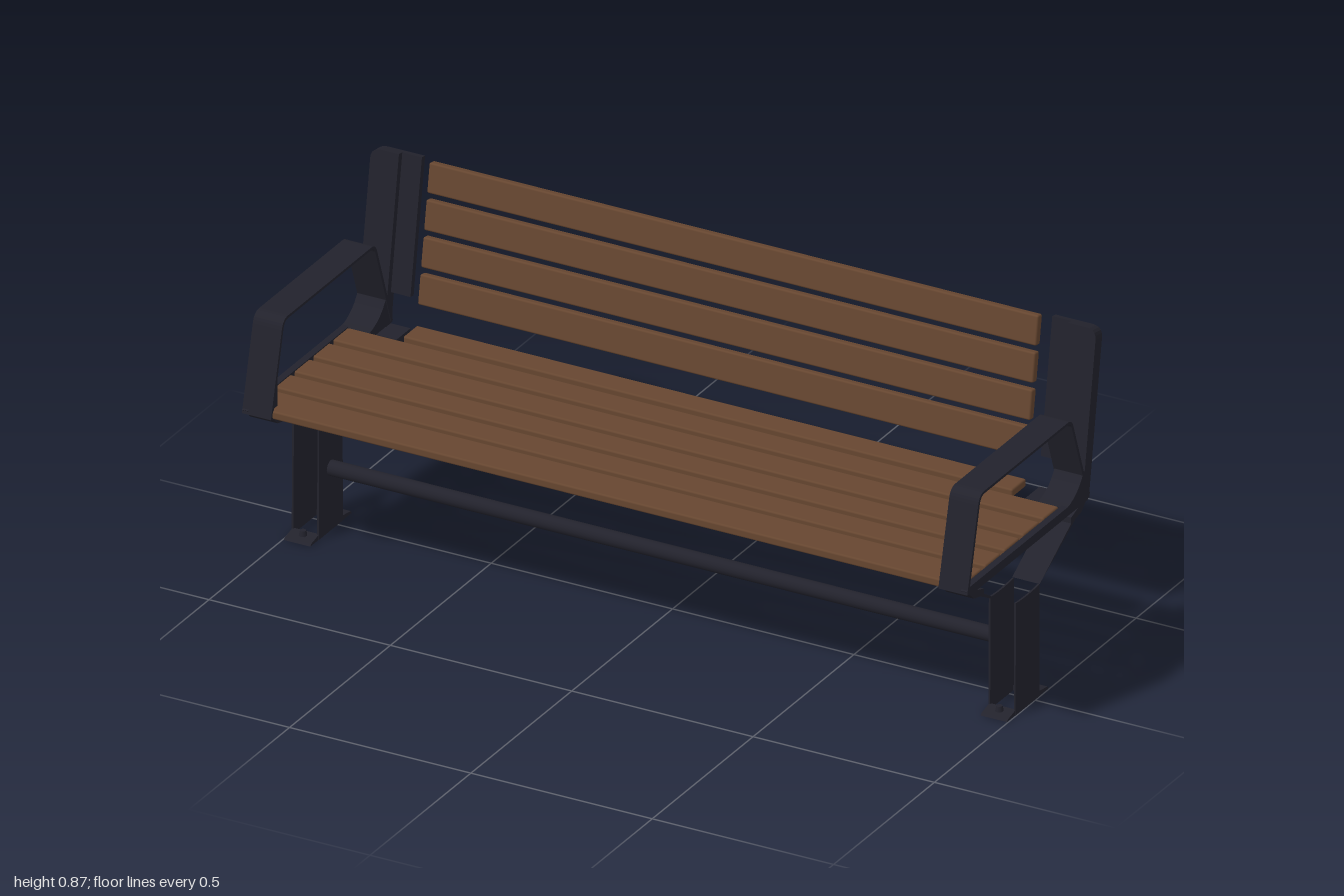
import * as THREE from 'three';
import { RoundedBoxGeometry } from 'three/addons/geometries/RoundedBoxGeometry.js';

const TILT = 0.16; // backward lean of the backrest

export function createModel() {
  const bench = new THREE.Group();
  bench.name = 'bench';
  const wood = new THREE.MeshStandardMaterial({ color: 0x664630 });
  wood.name = 'brownWood';
  const metal = new THREE.MeshStandardMaterial({ color: 0x22222c });
  metal.name = 'darkMetal';

  function add(name, geometry, material, x = 0, y = 0, z = 0) {
    const mesh = new THREE.Mesh(geometry, material);
    mesh.name = name;
    mesh.position.set(x, y, z);
    bench.add(mesh);
    return mesh;
  }

  // Side-on outline in [z, y], extruded across x between two distances from the middle
  function sidePart(name, outline, side, xIn, xOut) {
    const shape = outline instanceof THREE.Shape ? outline
      : new THREE.Shape(outline.map(([z, y]) => new THREE.Vector2(z, y)));
    const g = new THREE.ExtrudeGeometry(shape, { depth: xOut - xIn, bevelEnabled: false, curveSegments: 6 });
    g.rotateY(-Math.PI / 2);
    return add(name, g, metal, side > 0 ? xOut : -xIn);
  }

  // Seat slats: [rear z, front z, half length]
  const seatSlats = [
    [-0.243, -0.174, 0.84], [-0.152, -0.077, 0.98], [-0.058, 0.022, 0.98],
    [0.04, 0.115, 0.98], [0.134, 0.21, 0.98], [0.227, 0.328, 0.98],
  ];
  seatSlats.forEach(([z0, z1, half], i) => {
    add('seatSlat' + (i + 1), new RoundedBoxGeometry(half * 2, 0.022, z1 - z0, 2, 0.005),
      wood, 0, 0.441, (z0 + z1) / 2);
  });

  // Backrest slats
  for (let i = 0; i < 4; i++) {
    const y = 0.543 + i * 0.0938;
    const slat = add('backSlat' + (i + 1), new RoundedBoxGeometry(1.68, 0.078, 0.022, 2, 0.005),
      wood, 0, y, -0.262 - (y - 0.543) * 0.162);
    slat.rotation.x = -TILT;
  }

  // Bent flat bar of the armrest: points along the outside, then back along the inside
  const armLoop = new THREE.Shape();
  armLoop.moveTo(0.337, 0.432);
  armLoop.lineTo(0.283, 0.652);
  armLoop.quadraticCurveTo(0.277, 0.678, 0.252, 0.678);
  armLoop.lineTo(-0.162, 0.678);
  armLoop.quadraticCurveTo(-0.182, 0.678, -0.19, 0.655);
  armLoop.lineTo(-0.268, 0.435);
  armLoop.lineTo(-0.259, 0.435);
  armLoop.lineTo(-0.182, 0.652);
  armLoop.quadraticCurveTo(-0.176, 0.671, -0.162, 0.671);
  armLoop.lineTo(0.252, 0.671);
  armLoop.quadraticCurveTo(0.27, 0.671, 0.275, 0.65);
  armLoop.lineTo(0.328, 0.432);

  // Curved gusset between seat and back post
  const gusset = new THREE.Shape();
  gusset.moveTo(-0.155, 0.43);
  gusset.lineTo(-0.155, 0.448);
  gusset.quadraticCurveTo(-0.215, 0.46, -0.242, 0.515);
  gusset.lineTo(-0.27, 0.45);
  gusset.lineTo(-0.268, 0.43);

  // Leg plate with a slightly hollow top edge
  const legPlate = new THREE.Shape();
  legPlate.moveTo(-0.025, 0);
  legPlate.lineTo(0.094, 0);
  legPlate.lineTo(0.092, 0.302);
  legPlate.quadraticCurveTo(0.034, 0.296, -0.024, 0.302);

  for (const s of [1, -1]) {
    const tag = s > 0 ? 'left' : 'right';

    // Armrest, its front stiffener and the rail at the end of the seat
    sidePart(tag + 'Armrest', armLoop, s, 0.92, 1);
    sidePart(tag + 'ArmStiffener', [[0.331, 0.43], [0.31, 0.535], [0.297, 0.535], [0.295, 0.45]], s, 0.925, 0.933);
    sidePart(tag + 'SeatRail', [[0.337, 0.441], [0.322, 0.426], [-0.258, 0.426], [-0.272, 0.441],
      [-0.262, 0.45], [0.328, 0.45]], s, 0.982, 1);
    sidePart(tag + 'BackGusset', gusset, s, 0.922, 1);

    // Back post with a rounded outer top corner
    const post = new THREE.Shape();
    post.moveTo(s * 0.923, 0);
    post.lineTo(s, 0);
    post.lineTo(s, 0.41);
    post.quadraticCurveTo(s, 0.437, s * 0.97, 0.437);
    post.lineTo(s * 0.923, 0.437);
    const postGeo = new THREE.ExtrudeGeometry(post, { depth: 0.033, bevelEnabled: false, curveSegments: 5 });
    add(tag + 'BackPost', postGeo, metal, 0, 0.43, -0.266).rotation.x = -TILT;

    // Flange behind the slat ends
    const flange = new THREE.BoxGeometry(0.056, 0.357, 0.016);
    flange.translate(s * 0.897, 0.2585, 0.008);
    add(tag + 'BackFlange', flange, metal, 0, 0.43, -0.266).rotation.x = -TILT;

    // Bracket under the rear seat slat
    add(tag + 'SeatBracket', new THREE.BoxGeometry(0.06, 0.028, 0.07), metal, s * 0.897, 0.415, -0.225);

    // Spreading struts from leg to seat, with thicker pads at the top
    sidePart(tag + 'FrontStrut', [[0.094, 0.302], [0.255, 0.392], [0.33, 0.43], [0.31, 0.433], [0.25, 0.398]], s, 0.922, 0.998);
    sidePart(tag + 'FrontPad', [[0.25, 0.395], [0.25, 0.412], [0.31, 0.432], [0.325, 0.432], [0.3, 0.407]], s, 0.922, 0.998);
    sidePart(tag + 'RearStrut', [[-0.026, 0.302], [-0.185, 0.398], [-0.24, 0.433], [-0.262, 0.43], [-0.19, 0.392]], s, 0.922, 0.998);
    sidePart(tag + 'RearPad', [[-0.182, 0.395], [-0.182, 0.412], [-0.24, 0.432], [-0.26, 0.43], [-0.232, 0.405]], s, 0.922, 0.998);

    // Leg made of two plates
    sidePart(tag + 'LegInner', legPlate, s, 0.923, 0.928);
    sidePart(tag + 'LegOuter', legPlate, s, 0.993, 0.998);

    // Flared feet in front of and behind the leg
    sidePart(tag + 'FrontFoot', [[0.09, 0], [0.135, 0], [0.13, 0.005], [0.09, 0.014]], s, 0.924, 0.997);
    sidePart(tag + 'RearFoot', [[-0.02, 0], [-0.07, 0], [-0.066, 0.007], [-0.02, 0.014]], s, 0.924, 0.997);
    for (const z of [0.106, -0.036]) {
      add(tag + 'FootBolt', new THREE.CylinderGeometry(0.008, 0.011, 0.014, 8), metal, s * 0.96, 0.016, z);
    }
  }

  // Stretcher tube between the legs
  const tube = new THREE.CylinderGeometry(0.02, 0.02, 1.85, 16);
  tube.rotateZ(Math.PI / 2);
  add('stretcher', tube, metal, 0, 0.17, 0.035);

  return bench;
}
